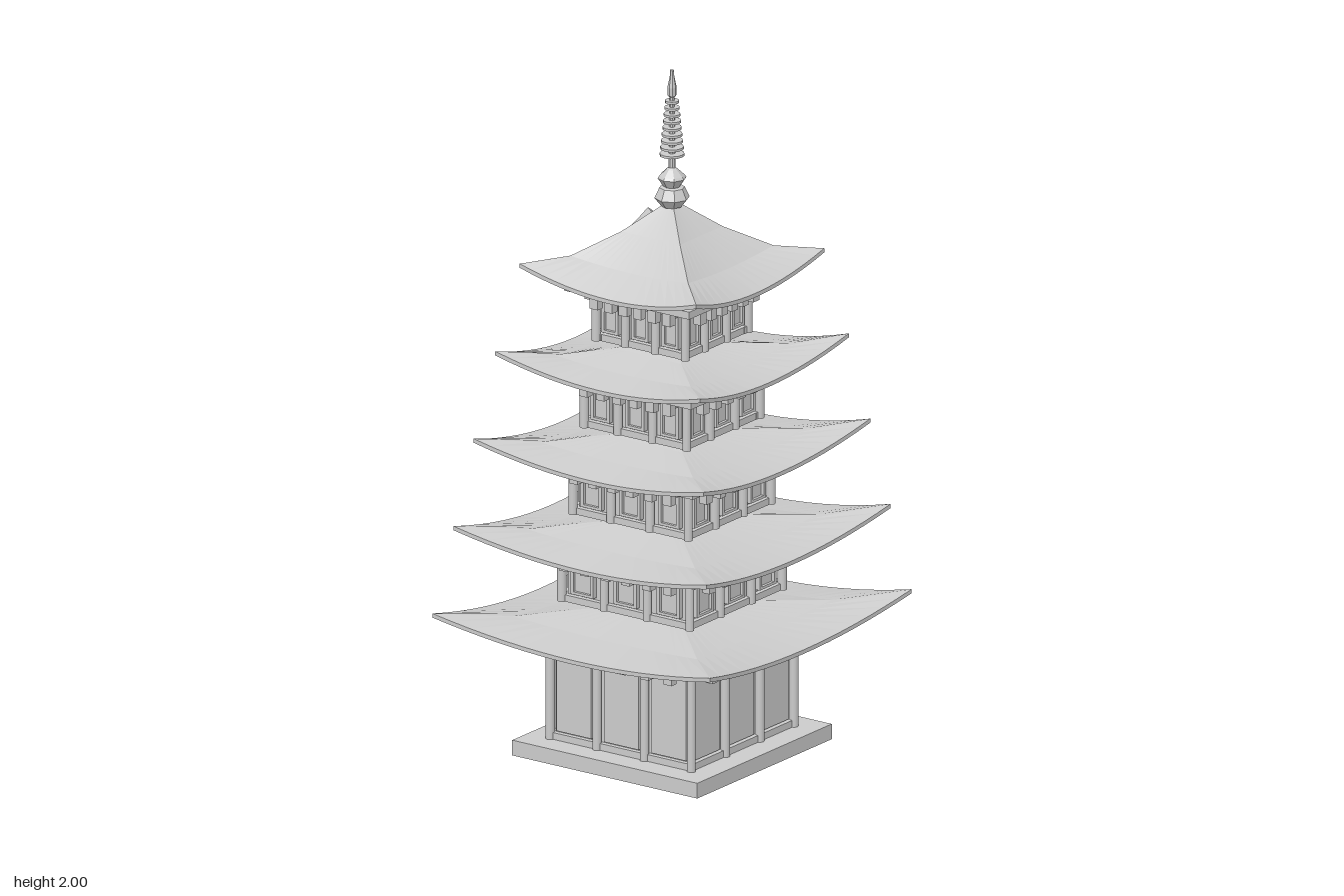
import * as THREE from 'three';

const mat = new THREE.MeshStandardMaterial({ color: 0xcccccc, flatShading: true });
const smooth = new THREE.MeshStandardMaterial({ color: 0xcccccc });

function add(parent, name, geo, x = 0, y = 0, z = 0, material = mat) {
  const m = new THREE.Mesh(geo, material);
  m.name = name;
  m.position.set(x, y, z);
  parent.add(m);
  return m;
}

// box standing on y0 and reaching y1
function slab(parent, name, w, y0, y1, d, x = 0, z = 0) {
  return add(parent, name, new THREE.BoxGeometry(w, y1 - y0, d), x, (y0 + y1) / 2, z);
}

// four copies of a +z side turned around the tower
function fourSides(parent, name, build) {
  for (let i = 0; i < 4; i++) {
    const side = new THREE.Group();
    side.name = name;
    side.rotation.y = i * Math.PI / 2;
    build(side);
    parent.add(side);
  }
}

// one side of a swept roof: inward-bowed eave, corners curling up
function roofSide(half, apex, drop, lift) {
  const NU = 16, NT = 3, thick = 0.012, pos = [];
  const at = (i, j, under) => {
    const u = i / NU * 2 - 1, t = j / NT;
    return [
      half * t * u,
      apex - drop * (1 - Math.pow(1 - t, 1.3)) + lift * t ** 3 * u * u - under * thick,
      half * t * (1 - 0.05 * (1 - u * u)),
    ];
  };
  const quad = (a, b, c, d) => pos.push(...a, ...b, ...c, ...a, ...c, ...d);
  for (let i = 0; i < NU; i++) {
    for (let j = 0; j < NT; j++) {
      quad(at(i, j, 0), at(i, j + 1, 0), at(i + 1, j + 1, 0), at(i + 1, j, 0));
      quad(at(i, j, 1), at(i + 1, j, 1), at(i + 1, j + 1, 1), at(i, j + 1, 1));
    }
    quad(at(i, NT, 1), at(i + 1, NT, 1), at(i + 1, NT, 0), at(i, NT, 0));
  }
  const geo = new THREE.BufferGeometry();
  geo.setAttribute('position', new THREE.Float32BufferAttribute(pos, 3));
  geo.computeVertexNormals();
  return geo;
}

// walls, columns, panels, brackets and eave plate of one storey
function storey(half, y0, y1, ground) {
  const g = new THREE.Group();
  g.name = 'storey';
  const core = half - 0.025, colR = 0.013, h = y1 - y0;
  slab(g, 'walls', core * 2, y0, y1, core * 2);
  const colGeo = new THREE.CylinderGeometry(colR, colR, h, 10);
  const bay = half * 0.64;
  fourSides(g, 'wallSide', (s) => {
    for (const f of [-0.32, 0.32, 0.95]) add(s, 'column', colGeo, f * half, y0 + h / 2, half - colR, smooth);
    slab(s, 'sill', half * 1.9, y0, y0 + 0.02, 0.02, 0, half - 0.02);
    slab(s, 'lintel', half * 1.9, y1 - 0.025, y1, 0.02, 0, half - 0.02);
    for (const k of [-1, 0, 1]) {
      const x = k * bay;
      if (ground) {
        slab(s, 'doorPanel', bay - 0.045, y0 + 0.025, y1 - 0.03, 0.012, x, core + 0.003);
      } else {
        // framed window
        const w = bay * 0.46, a = y0 + 0.035, b = y1 - 0.02;
        slab(s, 'windowPane', w, a, b, 0.008, x, core + 0.003);
        for (const e of [-1, 1]) slab(s, 'windowJamb', 0.01, a, b, 0.02, x + e * w / 2, core + 0.006);
        slab(s, 'windowSill', w + 0.01, a - 0.008, a, 0.02, x, core + 0.006);
      }
    }
    // stepped brackets under the eave plate
    for (const f of [-0.77, -0.46, -0.15, 0.15, 0.46, 0.77]) {
      slab(s, 'bracketBlock', 0.028, y1 - 0.042, y1, 0.025, f * half, half + 0.025);
      slab(s, 'bracketArm', 0.02, y1 - 0.025, y1, 0.06, f * half, half + 0.005);
    }
  });
  slab(g, 'eavePlate', (half + 0.053) * 2, y1, y1 + 0.022, (half + 0.053) * 2);
  return g;
}

export function createModel() {
  const tower = new THREE.Group();
  tower.name = 'pagoda';
  slab(tower, 'basePlinth', 0.64, 0, 0.045, 0.64);

  const bodyHalf = [0.257, 0.233, 0.21, 0.187, 0.163];
  const roofHalf = [0.48, 0.438, 0.397, 0.354, 0.305];
  const step = 0.255;
  for (let i = 0; i < 5; i++) {
    const top = 0.345 + step * i;
    tower.add(storey(bodyHalf[i], i ? top - 0.15 : 0.045, top, i === 0));
    // the last roof is taller and steeper
    const apex = i === 4 ? 1.62 : 0.45 + step * i;
    const eave = 0.379 + step * i;
    const geo = roofSide(roofHalf[i], apex, apex - eave, 0.052);
    fourSides(tower, 'roof', (s) => add(s, 'roofSlope', geo));
  }

  // finial: flared dew basin, mast, nine rings and jewel
  const finial = new THREE.Group();
  finial.name = 'finial';
  const basin = [[0, 1.6], [0.03, 1.6], [0.05, 1.625], [0.036, 1.655], [0.024, 1.658], [0.041, 1.683],
    [0.036, 1.69], [0.017, 1.708], [0.008, 1.715], [0, 1.715]];
  add(finial, 'basin', new THREE.LatheGeometry(basin.map((p) => new THREE.Vector2(...p)), 8));
  add(finial, 'mast', new THREE.CylinderGeometry(0.006, 0.01, 0.3, 8), 0, 1.85, 0);
  for (let i = 0; i < 9; i++) {
    const r = 0.035 - 0.0019 * i;
    add(finial, 'ring', new THREE.CylinderGeometry(r, r, 0.007, 12), 0, 1.752 + 0.0195 * i, 0);
  }
  const jewel = [[0, 1.915], [0.012, 1.925], [0.013, 1.95], [0.006, 1.985], [0, 2]];
  add(finial, 'jewel', new THREE.LatheGeometry(jewel.map((p) => new THREE.Vector2(...p)), 8));
  tower.add(finial);
  return tower;
}
